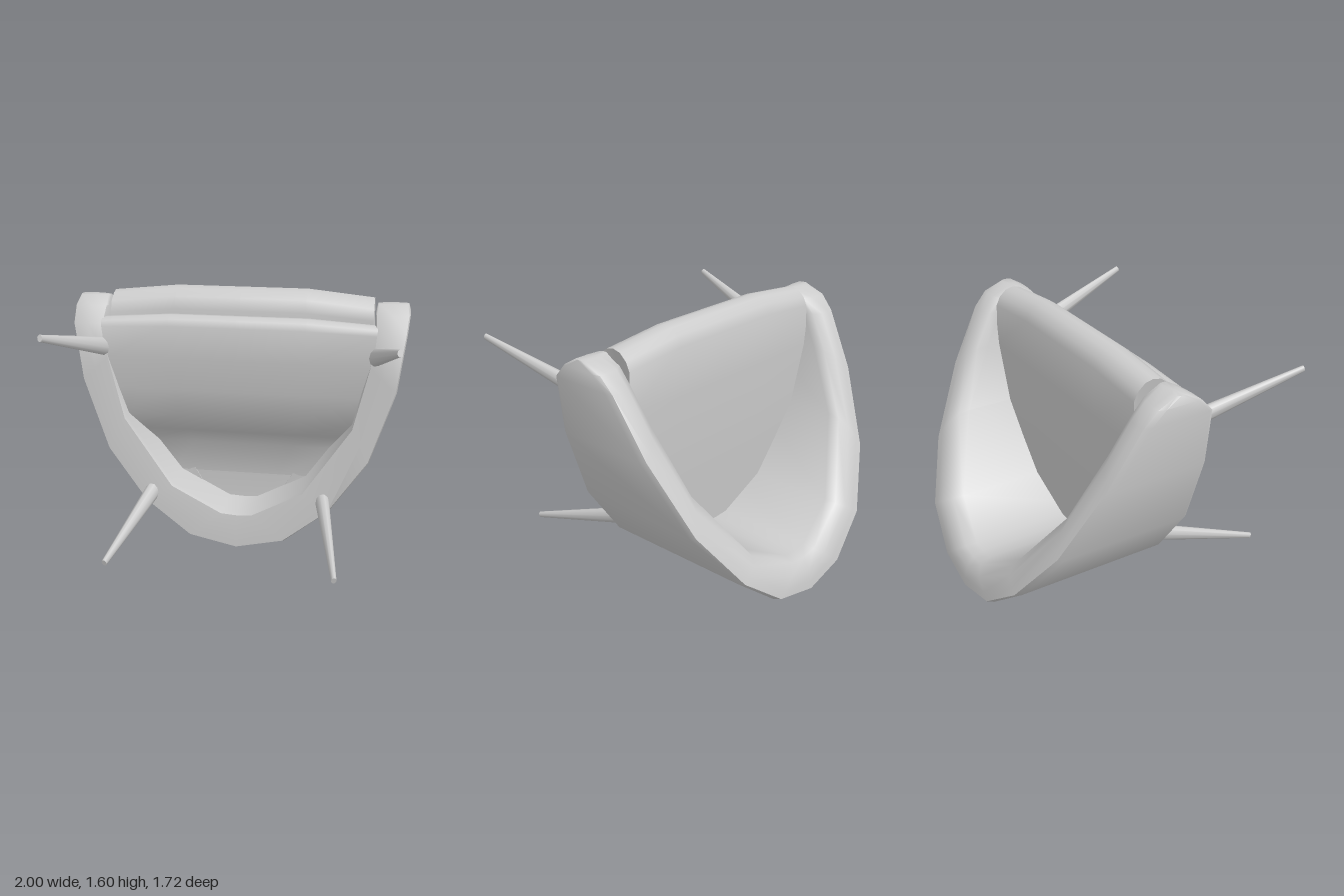
import * as THREE from 'three';
import { toCreasedNormals } from 'three/addons/utils/BufferGeometryUtils.js';

// Armchair resting on its backrest: seat front is +y, the underside and legs face +z.
const material = new THREE.MeshStandardMaterial({ color: 0xcccccc, side: THREE.DoubleSide });

// Linear lookup in a list of [key, value] pairs
function lerpTable(table, k) {
  if (k <= table[0][0]) return table[0][1];
  for (let i = 1; i < table.length; i++) {
    const [k0, v0] = table[i - 1], [k1, v1] = table[i];
    if (k <= k1) return v0 + (v1 - v0) * (k - k0) / (k1 - k0);
  }
  return table[table.length - 1][1];
}

// Skin closed cross-section loops and cap both ends
function loft(rings, crease) {
  const n = rings[0].length, pos = rings.flat(2), index = [];
  for (let i = 0; i < rings.length - 1; i++) {
    for (let j = 0; j < n; j++) {
      const k = (j + 1) % n;
      const a = i * n + j, b = (i + 1) * n + j, c = (i + 1) * n + k, d = i * n + k;
      index.push(a, b, c, a, c, d);
    }
  }
  [0, rings.length - 1].forEach((r, end) => {
    const centre = pos.length / 3;
    for (let axis = 0; axis < 3; axis++) {
      pos.push(rings[r].reduce((s, p) => s + p[axis], 0) / n);
    }
    for (let j = 0; j < n; j++) {
      const a = r * n + j, b = r * n + (j + 1) % n;
      index.push(centre, end ? b : a, end ? a : b);
    }
  });
  const g = new THREE.BufferGeometry();
  g.setAttribute('position', new THREE.Float32BufferAttribute(pos, 3));
  g.setIndex(index);
  g.computeVertexNormals();
  return toCreasedNormals(g, crease);
}

function addMesh(parent, name, geometry) {
  const mesh = new THREE.Mesh(geometry, material);
  mesh.name = name;
  parent.add(mesh);
}

// Curved wall forming the backrest and both arms
function shellGeometry() {
  const rim = [[0, -0.865], [0.24, -0.82], [0.45, -0.73], [0.82, -0.55], [1.13, -0.39],
    [1.4, -0.24], [1.5, -0.15], [1.54, -0.04]];
  const base = [[0, 0.222], [0.4, 0.215], [1.38, 0.205], [1.43, 0.19], [1.5, 0.1], [1.54, 0.03]];
  // outer x, outer y, inner x, inner y from the centre of the back to the arm front
  const half = [
    [0, 0, 0, 0.225], [0.3, 0.065, 0.09, 0.23], [0.57, 0.28, 0.4, 0.39],
    [0.8, 0.61, 0.69, 0.82], [0.945, 1.05, 0.78, 1.2], [0.99, 1.4, 0.805, 1.4],
    [1, 1.49, 0.8, 1.49], [0.99, 1.54, 0.81, 1.54],
  ];
  const mirrored = half.slice(1).reverse().map(([a, b, c, d]) => [-a, b, -c, d]);
  const rings = [...mirrored, ...half].map(([xo, yo, xi, yi]) => {
    const at = (t, drop, low) => {
      const x = xi + (xo - xi) * t, y = yi + (yo - yi) * t;
      const top = lerpTable(rim, y), bottom = lerpTable(base, y);
      const d = Math.min(drop, (bottom - top) * 0.3);
      return [x, y, low ? bottom - d : top + d];
    };
    return [
      at(0.04, 0.01, true), at(0, 0.04, true), at(0, 0.1, false), at(0.08, 0.035, false),
      at(0.35, 0, false), at(0.7, 0, false), at(0.93, 0.005, false), at(1, 0.05, false),
      at(1, 0.02, true), at(0.96, 0, true), at(0.5, 0, true),
    ];
  });
  return loft(rings, 1.1);
}

// Seat layer: a side profile (y, z) swept across the width inside the shell
function seatGeometry(profile, frontWidth) {
  const width = [[0.2, 0.2], [0.39, 0.46], [0.6, 0.61], [0.82, 0.74], [1.2, 0.8],
    [1.45, frontWidth]];
  const rings = [-1, -0.5, 0, 0.5, 1].map((s) => profile.map(([y, z]) => {
    const pull = Math.abs(s) === 1 ? 0.04 * THREE.MathUtils.smoothstep(y, 1.3, 1.55) : 0;
    return [s * lerpTable(width, y), y - pull, z];
  }));
  return loft(rings, 0.9);
}

// Tapered leg from inside the shell to its tip
function legGeometry(root, tip) {
  const dir = tip.clone().sub(root);
  const g = new THREE.CylinderGeometry(0.02, 0.06, dir.length(), 10);
  g.scale(0.75, 1, 1);
  g.applyQuaternion(new THREE.Quaternion().setFromUnitVectors(
    new THREE.Vector3(0, 1, 0), dir.normalize()));
  const mid = root.clone().add(tip).multiplyScalar(0.5);
  return g.translate(mid.x, mid.y, mid.z);
}

export function createModel() {
  const chair = new THREE.Group();
  chair.name = 'armchair';

  addMesh(chair, 'backAndArms', shellGeometry());

  // Upper cushion with a rolled front edge
  addMesh(chair, 'seatCushion', seatGeometry([
    [0.2, -0.08], [0.39, -0.085], [0.6, -0.06], [0.82, 0], [1.2, 0.05], [1.48, 0.08],
    [1.55, 0.055], [1.59, 0], [1.602, -0.05], [1.59, -0.1], [1.55, -0.145], [1.49, -0.17],
    [1.2, -0.17], [0.82, -0.15], [0.6, -0.135], [0.39, -0.115], [0.2, -0.1],
  ], 0.79));

  // Lower seat base, curving up toward the back
  addMesh(chair, 'seatBase', seatGeometry([
    [0.39, -0.08], [0.6, -0.045], [0.7, 0.03], [0.82, 0.115], [1, 0.165], [1.2, 0.192],
    [1.4, 0.205], [1.44, 0.19], [1.46, 0.15], [1.455, 0.1], [1.43, 0.07], [1.2, 0.03],
    [0.82, -0.03], [0.6, -0.08], [0.39, -0.1],
  ], 0.82));

  // Splayed legs, mirrored left and right
  for (const side of [-1, 1]) {
    const label = side > 0 ? 'Left' : 'Right';
    addMesh(chair, 'frontLeg' + label, legGeometry(
      new THREE.Vector3(side * 0.8, 1.235, 0.1), new THREE.Vector3(side * 0.95, 1.465, 0.855)));
    addMesh(chair, 'backLeg' + label, legGeometry(
      new THREE.Vector3(side * 0.51, 0.375, 0.1), new THREE.Vector3(side * 0.655, 0.16, 0.855)));
  }
  return chair;
}
